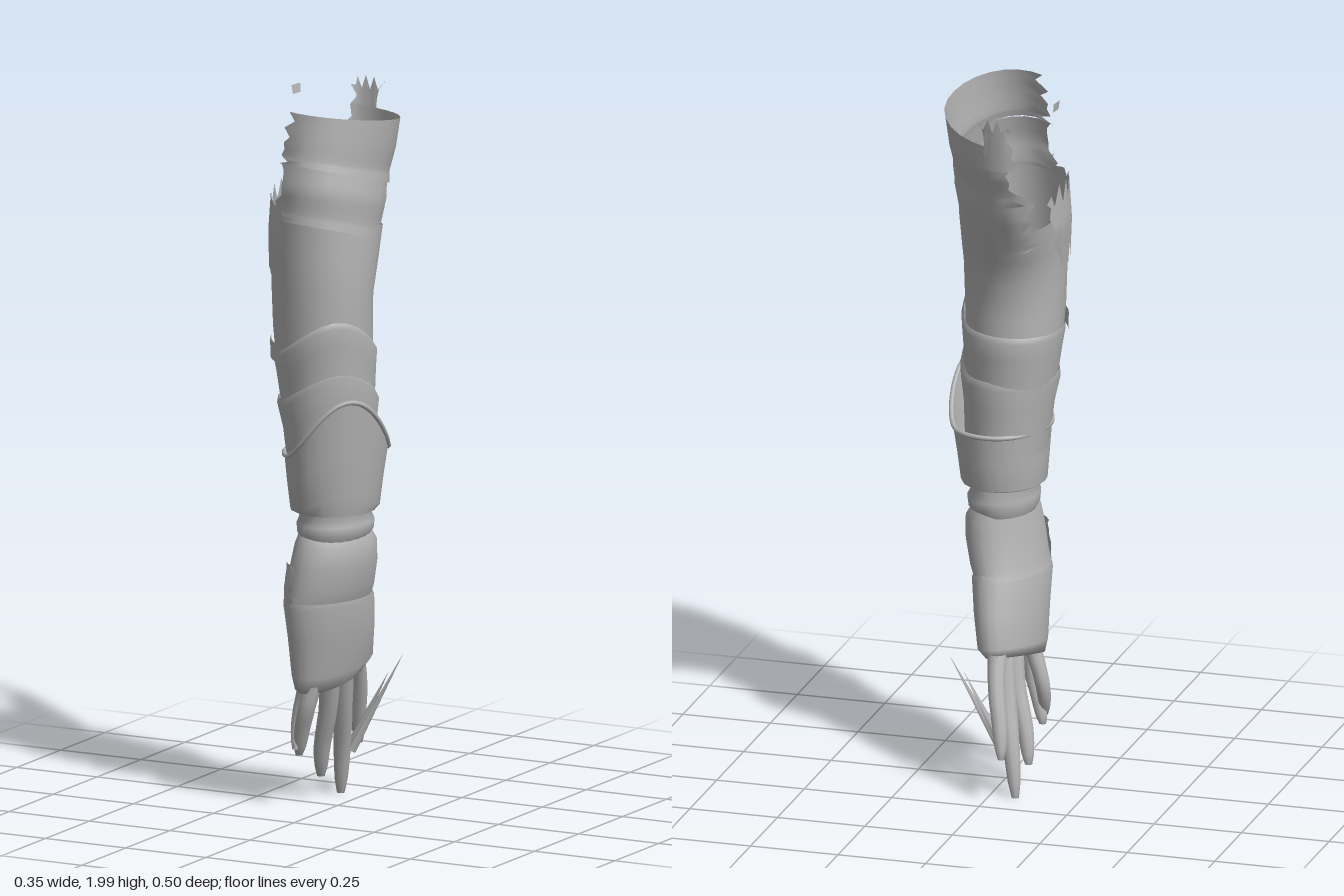
import * as THREE from 'three';

const TAU = Math.PI * 2;
const PEAK = 0.72; // direction of the elbow, between +x and +z

export function createModel() {
  const model = new THREE.Group();
  model.name = 'armouredArm';
  const grey = new THREE.MeshStandardMaterial({ color: 0xb4b4b4, side: THREE.DoubleSide });
  grey.name = 'plain grey';

  let seed = 7;
  const rand = () => (seed = (seed * 16807) % 2147483647) / 2147483647;

  const add = (name, geometry) => {
    const mesh = new THREE.Mesh(geometry, grey);
    mesh.name = name;
    model.add(mesh);
    return mesh;
  };

  // Point on an oval ring [y, xMin, xMax, zMin, zMax] at angle a.
  // lean shifts the back towards -x, skew slants the oval along a diagonal.
  const onRing = ([y, x0, x1, z0, z1], a, lift = 0, lean = 0, skew = 0) => new THREE.Vector3(
    (x0 + x1) / 2 + (x1 - x0) / 2 * Math.cos(a) - lean * Math.max(0, -Math.sin(a)) ** 2, y + lift,
    (z0 + z1) / 2 + (z1 - z0) / 2 * Math.sin(a - skew));

  // Sheet lofted through oval rings, bottom to top; open and torn when a span is given
  function shell(name, rings, { lift = () => 0, lean = 0, skew = 0, span = null, rag = 0, rows = 0, cols = 24, cap = false } = {}) {
    const pos = [], index = [];
    const n = rows || rings.length - 1;
    const width = span ? cols + 1 : cols;
    for (let i = 0; i <= n; i++) {
      const t = i / n, f = t * (rings.length - 1);
      const k = Math.min(Math.floor(f), rings.length - 2);
      const ring = rings[k].map((v, m) => v + (rings[k + 1][m] - v) * (f - k));
      const j0 = (rand() - 0.5) * rag, j1 = (rand() - 0.5) * rag;
      for (let j = 0; j < width; j++) {
        let a = j / cols * TAU;
        if (span) a = span[0] + (span[1] - span[0]) * j / cols;
        if (span && j === 0) a += j0;
        if (span && j === cols) a += j1;
        pos.push(...onRing(ring, a, lift(a, t), lean, skew).toArray());
      }
    }
    for (let i = 0; i < n; i++) for (let j = 0; j < cols; j++) {
      const a = i * width + j, b = i * width + (j + 1) % width;
      index.push(a, a + width, b, b, a + width, b + width);
    }
    if (cap) for (let j = 1; j < cols - 1; j++) index.push(0, j, j + 1);
    const g = new THREE.BufferGeometry();
    g.setAttribute('position', new THREE.Float32BufferAttribute(pos, 3));
    g.setIndex(index);
    g.computeVertexNormals();
    return add(name, g);
  }

  const bump = (a) => Math.max(0, Math.cos(a - PEAK)) ** 2;
  const ARM = -0.15, HAND = 0.34; // skew of the arm and of the hand

  // Shoulder bands, torn open on the inner side
  const torn = { rag: 0.4, rows: 9, cols: 16, skew: ARM, lean: 0.035 };
  shell('shoulderBandUpper', [
    [1.78, -0.16, 0.158, -0.2, 0.24], [1.81, -0.16, 0.154, -0.21, 0.234],
    [1.87, -0.165, 0.164, -0.235, 0.226], [1.945, -0.165, 0.172, -0.245, 0.213],
  ], { ...torn, span: [-1.92, 1.88], lift: (a, t) => (0.06 - 0.025 * t) * Math.sin(a) });
  shell('shoulderBandLower', [
    [1.625, -0.165, 0.152, -0.135, 0.246], [1.66, -0.165, 0.15, -0.15, 0.242],
    [1.73, -0.165, 0.158, -0.18, 0.245], [1.8, -0.16, 0.15, -0.2, 0.232],
  ], { ...torn, span: [-2.15, 1.95], lift: (a, t) => (0.055 - 0.015 * t) * Math.sin(a) });

  // Loose cloth along the tear
  shell('tornBackEdge', [
    [1.84, -0.165, 0.165, -0.238, 0.2], [1.975, -0.16, 0.165, -0.255, 0.2],
  ], { ...torn, span: [-1.95, -1.35], rag: 0.3, rows: 6, cols: 7, lift: (a, t) => t * 0.02 * Math.sin(a * 40) });
  shell('tornInnerFlap', [
    [1.52, -0.163, 0.15, -0.11, 0.24], [1.62, -0.172, 0.15, -0.15, 0.246], [1.72, -0.166, 0.15, -0.17, 0.246],
  ], { span: [1.8, 3.6], skew: ARM, rag: 0.4, rows: 9, cols: 14, lift: (a, t) => (t - 0.5) * 0.06 * Math.sin(a * 23) });
  shell('tornScrap', [
    [1.97, -0.165, 0.16, -0.24, 0.21], [1.995, -0.168, 0.16, -0.24, 0.21],
  ], { span: [3.25, 3.45], rag: 0.1, cols: 2 });

  // Upper arm sleeve
  shell('upperSleeve', [
    [1.24, -0.138, 0.135, -0.082, 0.225], [1.36, -0.148, 0.14, -0.078, 0.232],
    [1.47, -0.15, 0.146, -0.068, 0.236], [1.56, -0.158, 0.148, -0.105, 0.238],
    [1.66, -0.16, 0.148, -0.145, 0.238],
  ], { skew: ARM, lift: (a, t) => t * 0.04 * Math.sin(a) });

  // Pointed overlapping plates above the elbow
  shell('elbowLameUpper', [
    [1.13, -0.122, 0.14, -0.082, 0.222], [1.24, -0.138, 0.145, -0.092, 0.238],
    [1.29, -0.146, 0.15, -0.096, 0.249], [1.305, -0.145, 0.143, -0.084, 0.238],
  ], { skew: ARM, lift: (a) => 0.1 * bump(a) });
  shell('elbowLameLower', [
    [0.95, -0.1, 0.132, -0.08, 0.205], [1.08, -0.115, 0.138, -0.085, 0.218],
    [1.15, -0.13, 0.148, -0.091, 0.234], [1.17, -0.128, 0.138, -0.083, 0.224],
  ], { skew: ARM / 2, lift: (a) => 0.1 * bump(a) });
  shell('tornElbowFlap', [
    [1.28, -0.153, 0.15, -0.095, 0.25], [1.33, -0.155, 0.15, -0.09, 0.245],
  ], { span: [1.9, 2.9], skew: ARM, rag: 0.4, rows: 4, cols: 8 });

  // Elbow guard with a rolled upper rim
  const guardTop = [1.015, -0.103, 0.168, -0.096, 0.232];
  shell('elbowGuard', [
    [0.85, -0.085, 0.13, -0.068, 0.18], [0.855, -0.094, 0.142, -0.076, 0.195],
    [0.93, -0.098, 0.153, -0.086, 0.215], guardTop,
  ], { lift: (a, t) => t * 0.165 * bump(a) });
  const rim = [];
  for (let j = 0; j < 32; j++) rim.push(onRing(guardTop, j / 32 * TAU, 0.165 * bump(j / 32 * TAU)));
  add('elbowGuardRim', new THREE.TubeGeometry(new THREE.CatmullRomCurve3(rim, true), 64, 0.007, 6, true));

  // Wrist roll, gauntlet cuff and hand
  shell('wristRoll', [
    [0.77, -0.065, 0.1, -0.06, 0.16], [0.79, -0.073, 0.113, -0.07, 0.17],
    [0.815, -0.075, 0.116, -0.073, 0.173], [0.835, -0.068, 0.105, -0.066, 0.163],
    [0.88, -0.08, 0.12, -0.07, 0.18],
  ], { skew: 0.1 });
  shell('gauntletCuff', [
    [0.6, -0.098, 0.088, -0.098, 0.188], [0.63, -0.09, 0.1, -0.09, 0.19],
    [0.7, -0.08, 0.116, -0.078, 0.19], [0.76, -0.07, 0.116, -0.07, 0.178],
    [0.79, -0.062, 0.098, -0.06, 0.16],
  ], { skew: 0.25 });
  shell('hand', [
    [0.365, -0.092, 0.035, -0.13, 0.122], [0.4, -0.1, 0.056, -0.15, 0.135],
    [0.5, -0.1, 0.075, -0.128, 0.158], [0.59, -0.1, 0.088, -0.104, 0.184],
    [0.615, -0.092, 0.08, -0.094, 0.176],
  ], { cap: true, skew: HAND, lift: (a, t) => -0.03 * (1 - t) * Math.sin(a) });
  shell('tornCuffFlap', [
    [0.59, -0.102, 0.09, -0.1, 0.19], [0.65, -0.096, 0.105, -0.09, 0.198], [0.71, -0.088, 0.11, -0.08, 0.196],
  ], { span: [2.0, 2.5], skew: 0.25, rag: 0.35, rows: 7, cols: 4 });

  // Fingers: centre line points [x, y, z] from knuckle to tip, and radius
  const fingers = {
    littleFinger: [[[-0.03, 0.355, 0.09], [-0.045, 0.29, 0.095], [-0.068, 0.22, 0.08], [-0.085, 0.15, 0.065]], 0.024],
    ringFinger: [[[-0.015, 0.37, 0.02], [-0.033, 0.27, -0.005], [-0.065, 0.16, -0.03], [-0.08, 0.07, -0.05]], 0.026],
    middleFinger: [[[-0.01, 0.385, -0.05], [-0.03, 0.26, -0.085], [-0.055, 0.13, -0.125], [-0.072, 0.005, -0.148]], 0.026],
    indexFinger: [[[-0.01, 0.405, -0.115], [-0.02, 0.32, -0.155], [-0.04, 0.22, -0.19], [-0.052, 0.135, -0.215]], 0.024],
    thumb: [[[-0.06, 0.36, 0.06], [-0.08, 0.3, 0.055], [-0.09, 0.24, 0.06], [-0.085, 0.17, 0.085]], 0.022],
  };
  const taper = [0.4, 0.7, 0.82, 0.9, 0.95, 1, 1, 1.05, 1.1, 1.15];
  for (const [name, [path, r]] of Object.entries(fingers)) {
    const curve = new THREE.CatmullRomCurve3(path.map((p) => new THREE.Vector3(...p)));
    const rings = taper.map((w, i) => {
      const p = curve.getPoint(1 - i / (taper.length - 1));
      return [p.y, p.x - r * w, p.x + r * w, p.z - r * w, p.z + r * w];
    });
    shell(name, rings, { cols: 10, cap: true });
  }

  // Thin spikes rising from the fingers
  const spikes = [
    [[-0.03, 0.13, -0.135], [0.108, 0.41, -0.178]],
    [[-0.035, 0.15, -0.15], [0.075, 0.36, -0.155]],
  ];
  for (const [from, to] of spikes) {
    const a = new THREE.Vector3(...from), d = new THREE.Vector3(...to).sub(a);
    const mesh = add('spike', new THREE.ConeGeometry(0.014, d.length(), 5));
    mesh.position.copy(a).addScaledVector(d, 0.5);
    mesh.quaternion.setFromUnitVectors(new THREE.Vector3(0, 1, 0), d.normalize());
  }
  return model;
}
